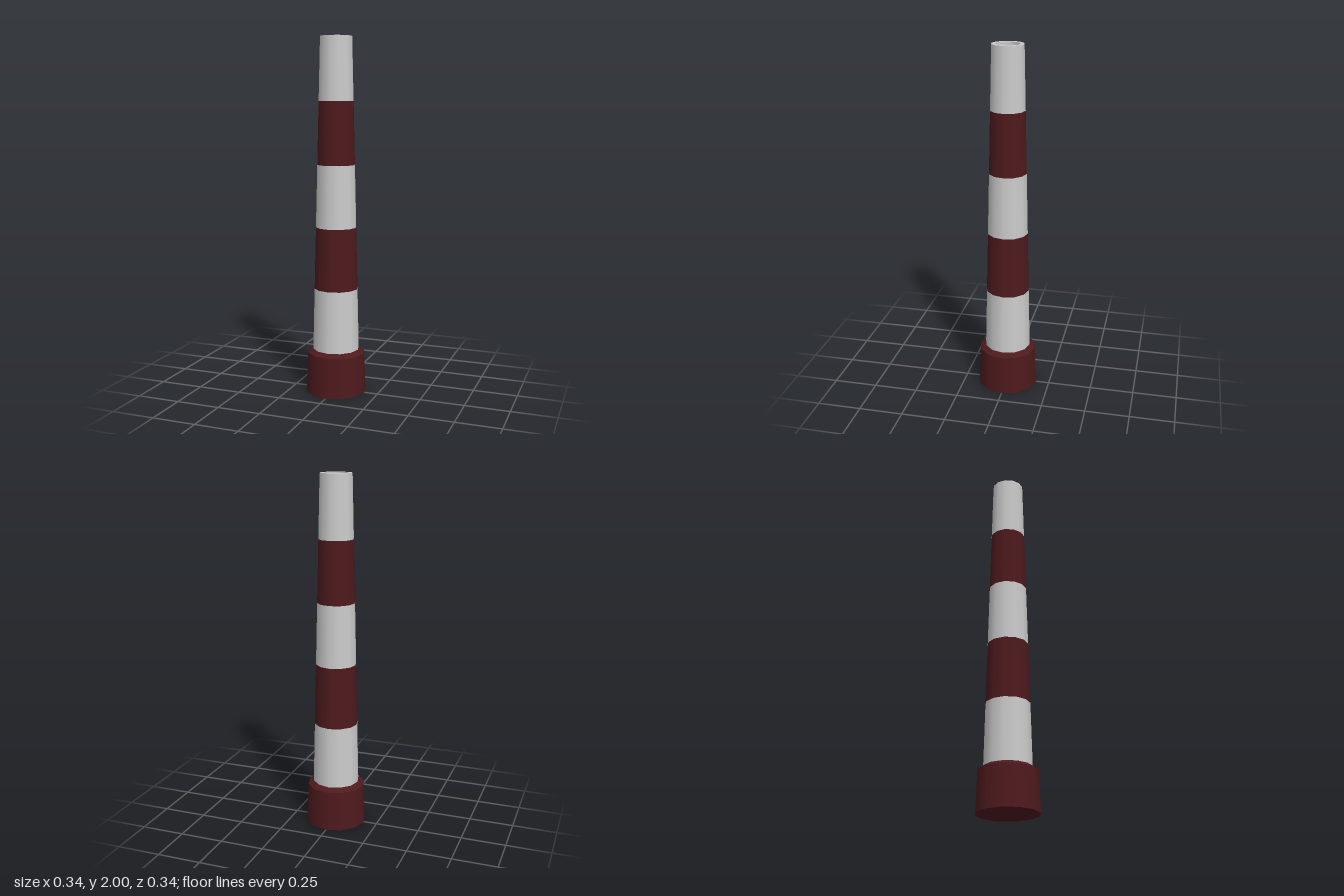
import * as THREE from 'three';

const SIDES = 12;
const grey = new THREE.MeshStandardMaterial({ color: 0xcccccc });
const red = new THREE.MeshStandardMaterial({ color: 0x4e1a1d });

// One ring of faces from (r0, y0) to (r1, y1); smooth around, sharp against its neighbours
function ring(name, material, [r0, y0], [r1, y1]) {
  const profile = [new THREE.Vector2(r0, y0), new THREE.Vector2(r1, y1)];
  const mesh = new THREE.Mesh(new THREE.LatheGeometry(profile, SIDES), material);
  mesh.name = name;
  return mesh;
}

// Consecutive rings along a profile
function shell(name, material, points, partNames) {
  const group = new THREE.Group();
  group.name = name;
  partNames.forEach((part, i) => group.add(ring(part, material, points[i], points[i + 1])));
  return group;
}

export function createModel() {
  const chimney = new THREE.Group();
  chimney.name = 'chimney';

  // Plinth with a closed underside and a sloped shoulder
  chimney.add(shell('base', red,
    [[0, 0], [0.172, 0], [0.163, 0.228], [0.131, 0.248]],
    ['baseUnderside', 'baseWall', 'baseShoulder']));

  // Tapering shaft in five alternating stripes
  const stripes = 5, bottom = 0.248, top = 2, rBottom = 0.132, rTop = 0.089;
  const level = (i) => [
    THREE.MathUtils.lerp(rBottom, rTop, i / stripes),
    THREE.MathUtils.lerp(bottom, top, i / stripes),
  ];
  for (let i = 0; i < stripes; i++) {
    chimney.add(ring(`stripe${i + 1}`, i % 2 ? red : grey, level(i), level(i + 1)));
  }

  // Flat rim and the recessed flue opening
  chimney.add(shell('flue', grey,
    [[rTop, top], [0.066, top], [0.066, top - 0.1], [0, top - 0.1]],
    ['rim', 'flueWall', 'flueFloor']));

  return chimney;
}
